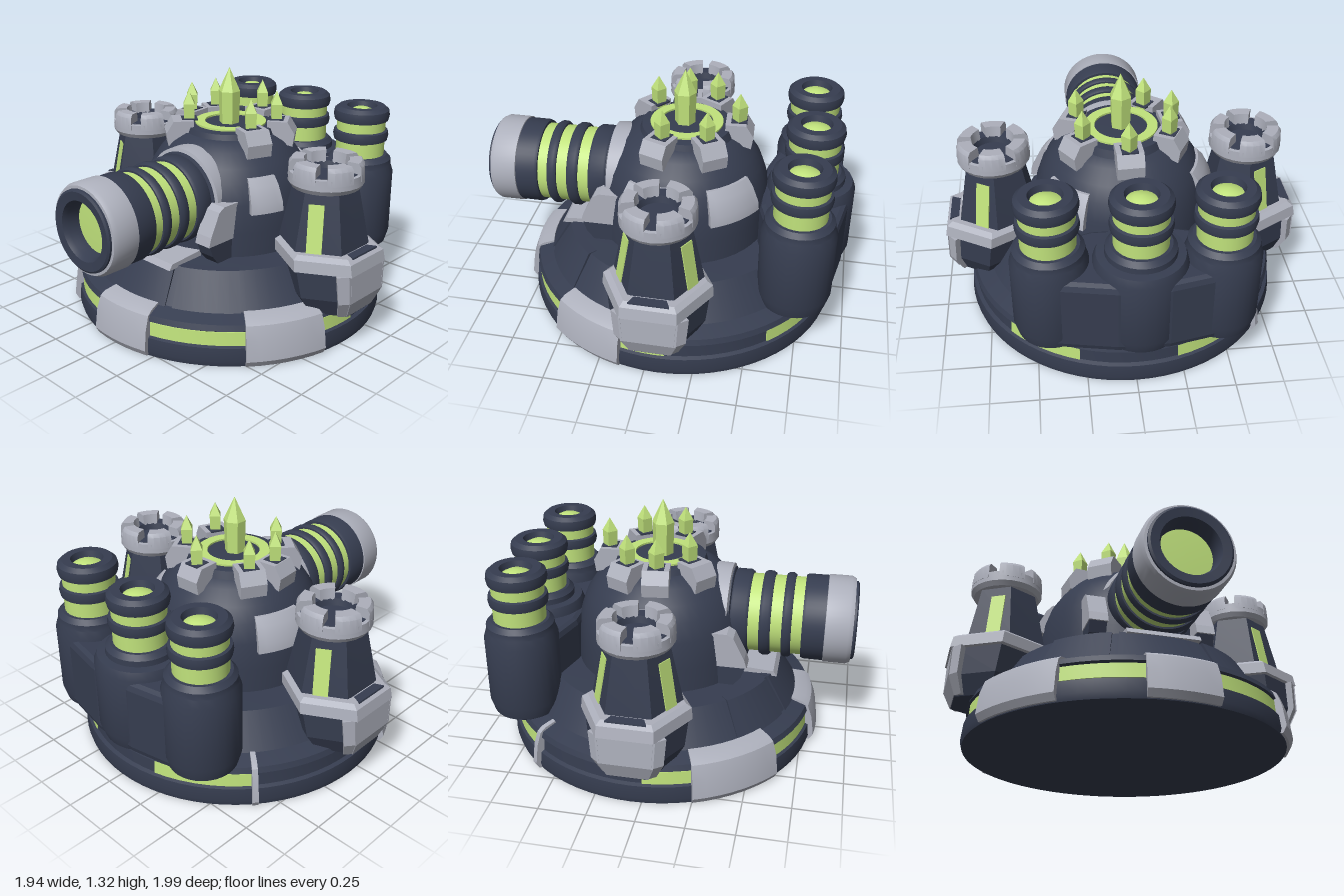
import * as THREE from 'three';
import { mergeGeometries, toCreasedNormals } from 'three/addons/utils/BufferGeometryUtils.js';

const mat = (name, color) => {
  const m = new THREE.MeshStandardMaterial({ color });
  m.name = name;
  return m;
};
const rad = THREE.MathUtils.degToRad;

export function createModel() {
  const dark = mat('dark armour', 0x363d50);
  const light = mat('light armour', 0xadb0bc);
  const green = mat('glowing green', 0xc1e37c);

  const root = new THREE.Group();
  root.name = 'fortress';

  const add = (name, geo, material, parent = root, pos = [0, 0, 0]) => {
    const mesh = new THREE.Mesh(geo, material);
    mesh.name = name;
    mesh.position.set(...pos);
    parent.add(mesh);
    return mesh;
  };
  const group = (name, x, y, z) => {
    const g = new THREE.Group();
    g.name = name;
    g.position.set(x, y, z);
    root.add(g);
    return g;
  };
  const vecs = pts => pts.map(p => new THREE.Vector2(...p));

  // Full turned solid from an upward profile
  const turn = (pts, segments = 48, crease = 0.6) =>
    toCreasedNormals(new THREE.LatheGeometry(vecs(pts), segments), crease);

  // Capped sector of a turned solid; angles run from +z towards +x, profile is counter-clockwise
  const sector = (pts, from, to, segments = Math.max(2, Math.ceil((to - from) / 5))) => {
    const a = rad(from), b = rad(to);
    const skin = new THREE.LatheGeometry(vecs([...pts, pts[0]]), segments, a, b - a);
    const start = new THREE.ShapeGeometry(new THREE.Shape(vecs(pts))).rotateY(a - Math.PI / 2);
    const end = new THREE.ShapeGeometry(new THREE.Shape(vecs(pts.map(([x, y]) => [-x, y])))).rotateY(b + Math.PI / 2);
    return toCreasedNormals(mergeGeometries([skin, start, end]), 0.6);
  };

  // Round base with armour panels and recessed light strips
  const base = group('base', 0, 0, -0.06);
  add('baseDisc', turn([[0, 0], [0.855, 0], [0.863, 0.03], [0.855, 0.1], [0.835, 0.108], [0.83, 0.18],
    [0.846, 0.19], [0.835, 0.22], [0.75, 0.245], [0.635, 0.42], [0, 0.43]], 72), dark, base);
  const panelProfile = [[0.8, 0.005], [0.87, 0.005], [0.89, 0.04], [0.875, 0.15], [0.85, 0.22], [0.82, 0.24], [0.755, 0.255], [0.74, 0.2]];
  for (const [a, b] of [[-9, 15], [49, 77], [-69, -36.5], [230, 232]])
    add('basePanel', sector(panelProfile, a, b), light, base);
  const stripProfile = [[0.82, 0.108], [0.841, 0.108], [0.836, 0.18], [0.82, 0.18]];
  for (const [a, b] of [[15, 49], [-36.5, -9], [77, 93], [131, 160], [195, 230], [-86, -69]])
    add('baseStrip', sector(stripProfile, a, b), green, base);
  const slopeProfile = [[0.7, 0.24], [0.76, 0.24], [0.648, 0.424], [0.6, 0.424]];
  for (const [a, b] of [[-18, 18], [21, 48], [-48, -21]])
    add('slopePlate', sector(slopeProfile, a, b), dark, base);

  // Central dome
  const dome = group('dome', 0, 0, -0.055);
  add('domeShell', turn([[0.48, 0.4], [0.475, 0.55], [0.46, 0.7], [0.425, 0.8], [0.38, 0.87],
    [0.315, 0.94], [0.25, 0.98], [0, 1]], 48, 0.9), dark, dome);
  const patch = [[0.44, 0.65], [0.502, 0.66], [0.495, 0.71], [0.455, 0.79], [0.42, 0.83], [0.37, 0.83]];
  for (const [a, b] of [[57, 78], [116, 152], [238, 272]])
    add('domePlate', sector(patch, a, b), light, dome);

  // Crown of crystals
  const crown = group('crown', 0, 0, -0.07);
  add('crownPedestal', turn([[0.27, 0.93], [0.24, 1.01], [0.2, 1.015], [0, 1.015]]), dark, crown);
  add('crownRing', turn([[0.195, 1.0], [0.195, 1.025], [0.14, 1.025], [0.14, 1.0]]), green, crown);
  const crystal = (r, h, sides) => turn([[0, 0], [r * 0.9, 0], [r, h * 0.6], [0, h]], sides, 0.1);
  add('mainCrystal', crystal(0.06, 0.32, 6), green, crown, [0, 1, 0.01]);
  const blockShape = new THREE.Shape(vecs([[0.21, 0.95], [0.35, 0.91], [0.36, 0.98], [0.32, 1.045], [0.21, 1.045]]));
  const blockGeo = new THREE.ExtrudeGeometry(blockShape, { depth: 0.14, bevelEnabled: false })
    .translate(0, 0, -0.07).rotateY(-Math.PI / 2);
  for (const [x, z] of [[-0.015, -0.28], [0.21, -0.14], [0.23, 0.09], [-0.14, 0.18], [-0.27, 0.03], [-0.24, -0.13]]) {
    const angle = Math.atan2(x, z);
    add('crownBlock', blockGeo, light, crown).rotation.y = angle;
    add('crystalSocket', new THREE.BoxGeometry(0.085, 0.009, 0.085), dark, crown, [x, 1.044, z]).rotation.y = angle;
    add('crownCrystal', crystal(0.042, 0.18, 4), green, crown, [x, 1.02, z]);
  }

  // Cannon, turned about the z axis
  const cannon = group('cannon', 0.025, 0.695, 0);
  const ring = (name, pts, m) => add(name, turn(pts).rotateX(Math.PI / 2), m, cannon);
  ring('cannonHousing', [[0.24, 0], [0.24, 0.33], [0.215, 0.34], [0, 0.34]], dark);
  ring('cannonCore', [[0.212, 0.3], [0.212, 0.75]], green);
  for (const [z0, z1] of [[0.33, 0.43], [0.49, 0.55], [0.61, 0.66]])
    ring('cannonBand', [[0.2, z0], [0.222, z0], [0.232, z0 + 0.015], [0.232, z1 - 0.015], [0.222, z1], [0.2, z1]], dark);
  ring('cannonNeck', [[0.2, 0.715], [0.226, 0.715], [0.232, 0.73], [0.232, 0.835]], dark);
  ring('muzzleSleeve', [[0.22, 0.83], [0.238, 0.835], [0.238, 0.955], [0.226, 0.978], [0.2, 0.98]], light);
  ring('muzzleRim', [[0.212, 0.96], [0.211, 0.99], [0.2, 0.997], [0.155, 0.992], [0.142, 0.965], [0.14, 0.9]], dark);
  ring('muzzleGlow', [[0.143, 0.9], [0, 0.905]], green);
  add('cannonCollar', sector([[0.2, 0.2], [0.255, 0.2], [0.262, 0.23], [0.258, 0.32], [0.2, 0.335]], 95, 265)
    .rotateX(Math.PI / 2), light, cannon);

  // Brackets beside the cannon and the plate beneath it
  const bracket = (pts, depth) => new THREE.ExtrudeGeometry(new THREE.Shape(vecs(pts)), { depth, bevelEnabled: false })
    .translate(0, 0, -depth / 2).rotateY(-Math.PI / 2);
  for (const s of [-1, 1]) {
    const x = 0.01 + s * 0.285;
    add('bracket', bracket([[0.2, 0.53], [0.45, 0.53], [0.435, 0.58], [0.375, 0.7], [0.34, 0.72], [0.2, 0.72]], 0.1), light, root, [x, 0, 0]);
    add('bracketFoot', bracket([[0.2, 0.42], [0.38, 0.42], [0.42, 0.47], [0.44, 0.53], [0.2, 0.53]], 0.09), dark, root, [x, 0, 0]);
  }
  add('frontPlate', bracket([[0.34, 0.42], [0.6, 0.41], [0.58, 0.44], [0.37, 0.455], [0.34, 0.45]], 0.38), light, root, [0.02, 0, 0]);

  // Hexagonal side towers
  for (const s of [-1, 1]) {
    const tower = group(s > 0 ? 'leftTower' : 'rightTower', s * 0.68, 0, -0.05);
    add('towerBody', turn([[0.235, 0.5], [0.23, 0.54], [0.165, 0.84]], 6, 0.2), dark, tower);

    // Flared skirt, leaning outwards towards its foot
    const flare = geo => {
      const p = geo.attributes.position;
      for (let i = 0; i < p.count; i++) p.setX(i, p.getX(i) + s * (0.03 + 0.14 * (0.53 - p.getY(i))));
      return toCreasedNormals(geo, 0.2);
    };
    const skirt = [[0, 0.2], [0.19, 0.2], [0.25, 0.3], [0.268, 0.46]];
    add('skirt', flare(new THREE.LatheGeometry(vecs(skirt), 6)), dark, tower);
    add('skirtBand', flare(new THREE.LatheGeometry(vecs([[0.25, 0.44], [0.285, 0.45], [0.28, 0.51], [0.25, 0.53], [0.2, 0.53]]), 6)), light, tower);
    add('skirtFace', flare(sector([[0.17, 0.205], [0.2, 0.205], [0.262, 0.3], [0.28, 0.45], [0.24, 0.45], [0.22, 0.3]],
      s * 90 - 32, s * 90 + 32, 1)), light, tower);
    add('skirtLedge', flare(sector([[0.2, 0.525], [0.252, 0.525], [0.252, 0.534], [0.2, 0.534]],
      s * 90 - 24, s * 90 + 24, 1)), dark, tower);
    for (const a of [s * 90 - 45, s * 90 + 30])
      add('skirtCorner', flare(sector([[0.16, 0.205], [0.195, 0.205], [0.257, 0.3], [0.275, 0.45], [0.22, 0.45], [0.2, 0.3]],
        a, a + 15, 1)), light, tower);

    // Glowing slits on the outer front and rear faces
    for (const f of [-1, 1]) {
      const phi = s * (f > 0 ? Math.PI / 6 : Math.PI * 5 / 6);
      const slit = add('towerSlit', new THREE.BoxGeometry(0.078, 0.25, 0.009).translate(-s * f * 0.022, 0, 0), green, tower,
        [Math.sin(phi) * 0.18, 0.65, Math.cos(phi) * 0.18]);
      slit.rotation.order = 'YXZ';
      slit.rotation.set(-0.185, phi, 0);
    }

    // Battlement
    add('parapet', turn([[0.14, 0.83], [0.178, 0.83], [0.194, 0.855], [0.192, 0.91], [0.17, 0.912]], 24), light, tower);
    add('towerFloor', turn([[0.178, 0.9], [0.172, 0.916], [0.11, 0.916], [0.1, 0.88], [0, 0.88]], 24), dark, tower);
    for (let i = 0; i < 6; i++)
      add('merlon', sector([[0.105, 0.88], [0.194, 0.88], [0.19, 0.95], [0.175, 0.97], [0.115, 0.97]], i * 60 - 21, i * 60 + 21, 4), light, tower);
  }

  // Rear chimneys and their shared housing
  for (const [x, z, r] of [[-0.44, -0.735, 0.195], [-0.03, -0.755, 0.238], [0.415, -0.72, 0.195]]) {
    const stack = group('chimney', x, 0, z);
    add('chimneyBody', turn([[0, 0.2], [r * 0.6, 0.21], [r * 0.9, 0.25], [r, 0.32], [r, 0.68], [r * 0.93, 0.72],
      [0.18, 0.725], [0.178, 0.755], [0.155, 0.78], [0, 0.78]], 32), dark, stack);
    add('chimneyCore', turn([[0.138, 0.77], [0.138, 0.99]], 32), green, stack);
    add('chimneyBand', turn([[0.13, 0.86], [0.152, 0.868], [0.157, 0.893], [0.152, 0.92], [0.13, 0.928]], 32), dark, stack);
    add('chimneyLip', turn([[0.13, 0.978], [0.152, 0.983], [0.158, 1.01], [0.153, 1.04], [0.13, 1.06],
      [0.085, 1.06], [0.074, 1.02]], 32), dark, stack);
    add('chimneyGlow', turn([[0.078, 1.025], [0.04, 1.045], [0, 1.05]], 16), green, stack);
  }
  const housing = new THREE.Shape(vecs([[-0.48, 0.58], [-0.2, 0.5], [0.2, 0.5], [0.46, 0.58], [0.48, 0.86], [0.42, 0.9], [0.1, 0.96], [-0.16, 0.96], [-0.45, 0.9], [-0.5, 0.86]]));
  add('chimneyHousing', new THREE.ExtrudeGeometry(housing, { depth: 0.34, bevelThickness: 0.04, bevelSize: 0.03, bevelOffset: -0.03, bevelSegments: 2 })
    .rotateX(-Math.PI / 2), dark, root, [0, 0.29, 0]);

  return root;
}
